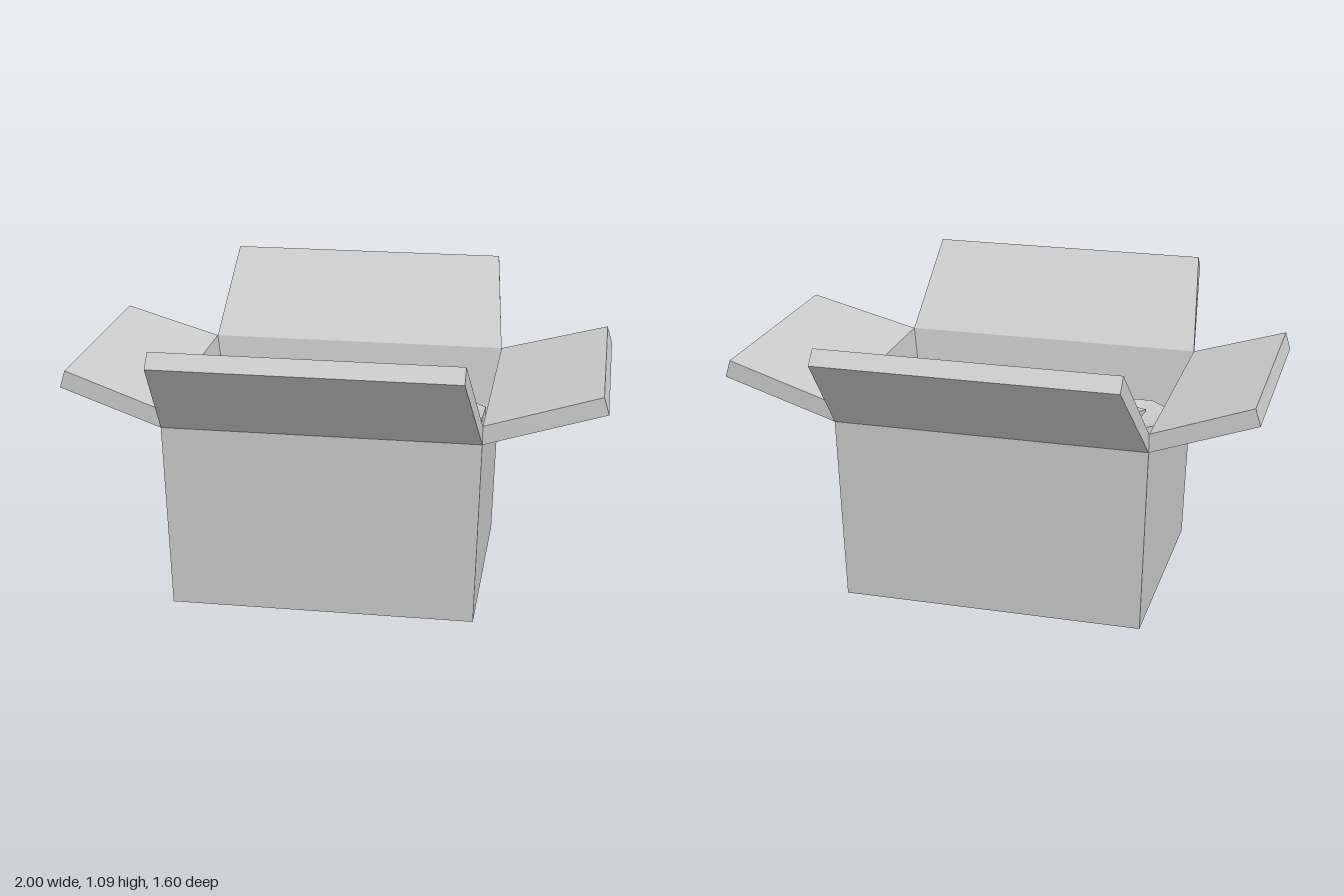
import * as THREE from 'three';

const material = new THREE.MeshStandardMaterial({ color: 0xcccccc, flatShading: true, side: THREE.DoubleSide });

// Skin a row of equal-length point loops and cap both ends
function loft(loops) {
  const n = loops[0].length, pos = [];
  const tri = (...pts) => pts.forEach((p) => pos.push(...p));
  for (let k = 0; k < loops.length - 1; k++) {
    const a = loops[k], b = loops[k + 1];
    for (let i = 0; i < n; i++) {
      const j = (i + 1) % n;
      tri(a[i], a[j], b[j]);
      tri(a[i], b[j], b[i]);
    }
  }
  const first = loops[0], last = loops[loops.length - 1];
  for (let i = 1; i < n - 1; i++) {
    tri(first[0], first[i + 1], first[i]);
    tri(last[0], last[i], last[i + 1]);
  }
  const g = new THREE.BufferGeometry();
  g.setAttribute('position', new THREE.Float32BufferAttribute(pos, 3));
  g.computeVertexNormals();
  return g;
}

function part(name, geometry, parent) {
  const mesh = new THREE.Mesh(geometry, material);
  mesh.name = name;
  parent.add(mesh);
  return mesh;
}

const rect = (hx, hz, y) => [[-hx, y, hz], [hx, y, hz], [hx, y, -hz], [-hx, y, -hz]];

// Thick tapered flap pointing along +z; tips are [distance, height]
function flap(hingeHalf, tipHalf, hingeZ, outerTip, innerTip) {
  const section = (h, [z0, y0], [z1, y1]) => [[-h, y0, z0], [h, y0, z0], [h, y1, z1], [-h, y1, z1]];
  return loft([
    section(hingeHalf, [hingeZ, 0.71], [hingeZ, 0.78]),
    section(tipHalf, outerTip, innerTip),
  ]);
}

export function createModel() {
  const model = new THREE.Group();
  model.name = 'openBox';

  // Carton sits slightly off centre because its side flaps differ in length
  const carton = new THREE.Group();
  carton.name = 'carton';
  carton.position.x = -0.028;
  model.add(carton);

  part('boxShell', loft([
    rect(0.57, 0.45, 0),
    rect(0.588, 0.47, 0.71),
    rect(0.588, 0.47, 0.78),
    rect(0.49, 0.38, 0.07),
  ]), carton);

  // Front and back flaps
  const longFlap = flap(0.588, 0.548, 0.47, [0.8, 1.04], [0.755, 1.09]);
  part('frontFlap', longFlap, carton);
  part('backFlap', longFlap, carton).rotation.y = Math.PI;

  // Side flaps
  for (const [name, reach, turn] of [['leftFlap', 1.028, 1], ['rightFlap', 0.972, -1]]) {
    const g = flap(0.47, 0.44, 0.588, [reach, 0.835], [reach - 0.02, 0.9]);
    part(name, g, carton).rotation.y = turn * Math.PI / 2;
  }

  // Eight-sided contents with a shallow dished top
  const profile = [[0, 0.07], [0.12, 0.07], [0.165, 0.3], [0.178, 0.5], [0.178, 0.6], [0.11, 0.585], [0, 0.572]]
    .map(([r, y]) => new THREE.Vector2(r, y));
  const body = new THREE.LatheGeometry(profile, 8);

  // Leaning stem, blunt and tall at its front end
  const outline = [[-0.025, 0.04], [0.025, 0.04], [0.04, -0.005], [0.024, -0.09], [-0.024, -0.09], [-0.04, -0.005]];
  const stem = loft([
    outline.map(([x, z]) => [x * 0.9, 0.56, z * 0.9]),
    outline.map(([x, z]) => [x, 0.612 + z * 0.2, z]),
  ]);

  const items = [
    [-0.405, -0.19, 0.05], [-0.028, -0.19, -0.42], [0.352, -0.19, -0.42],
    [-0.412, 0.185, 2.77], [-0.035, 0.185, Math.PI], [0.345, 0.185, Math.PI],
  ];
  items.forEach(([x, z, turn], i) => {
    const item = new THREE.Group();
    item.name = `item${i + 1}`;
    item.position.set(x, 0, z);
    item.rotation.y = turn;
    part('itemBody', body, item);
    part('itemStem', stem, item);
    model.add(item);
  });

  return model;
}
